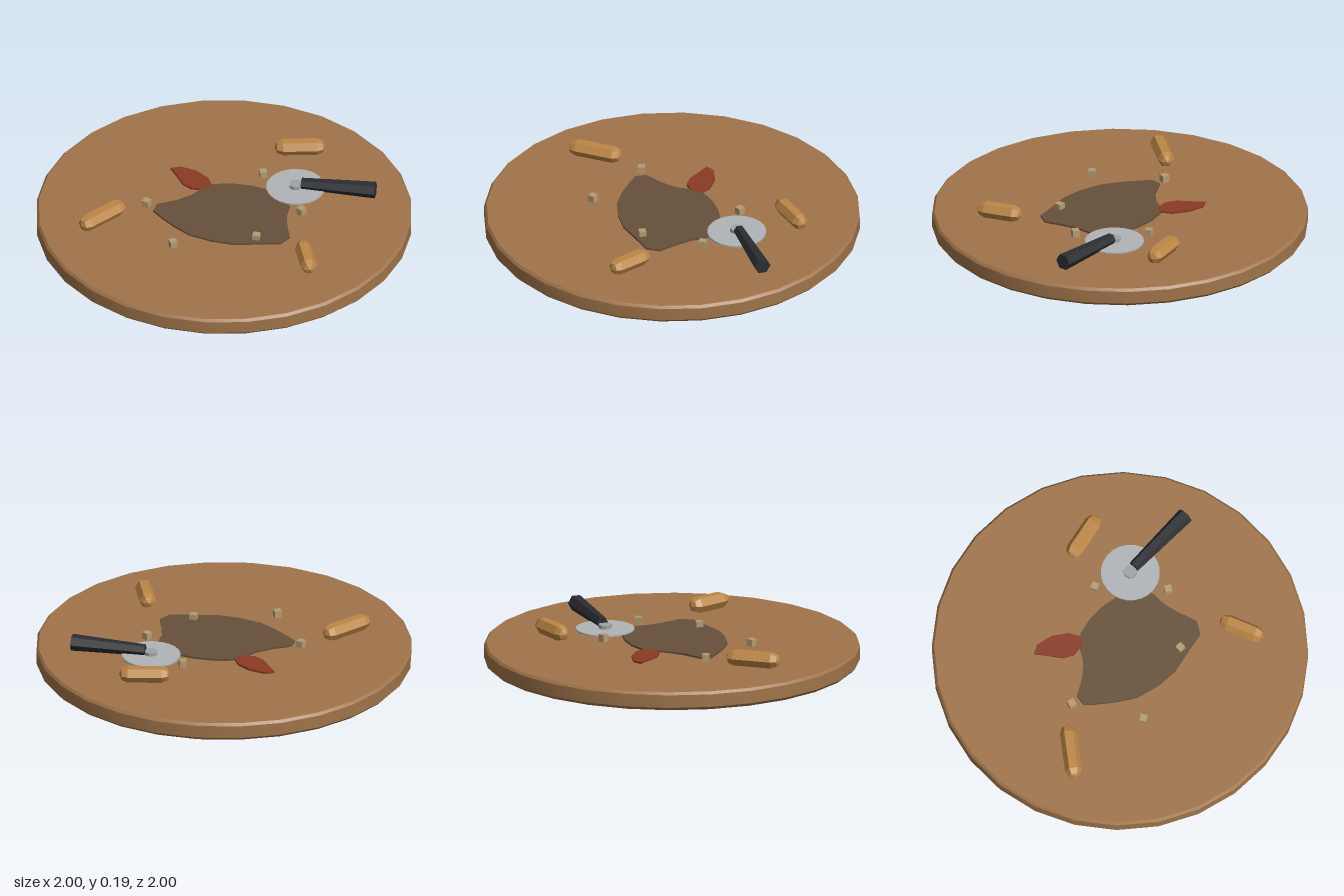
import * as THREE from 'three';
import { toCreasedNormals } from 'three/addons/utils/BufferGeometryUtils.js';

const TOP = 0.1; // height of the board's upper face
const RAD = Math.PI / 180;

function material(color, flatShading = true) {
  return new THREE.MeshStandardMaterial({ color, flatShading });
}

function addPart(parent, name, geometry, mat, x = 0, y = 0, z = 0) {
  const mesh = new THREE.Mesh(geometry, mat);
  mesh.name = name;
  mesh.position.set(x, y, z);
  parent.add(mesh);
  return mesh;
}

// Thin slab lying on the board, from an outline of [x, z] points
function slab(outline, thickness) {
  const shape = new THREE.Shape(outline.map(([x, z]) => new THREE.Vector2(x, -z)));
  const geometry = new THREE.ExtrudeGeometry(shape, { depth: thickness, bevelEnabled: false });
  return geometry.rotateX(-Math.PI / 2);
}

export function createModel() {
  const model = new THREE.Group();
  model.name = 'cuttingBoardSet';

  // Round board with softened rims
  const profile = [[0, 0], [0.983, 0], [1, 0.017], [1, 0.086], [0.988, TOP], [0, TOP]]
    .map(([r, y]) => new THREE.Vector2(r, y));
  const board = toCreasedNormals(new THREE.LatheGeometry(profile, 28), 0.6);
  addPart(model, 'board', board, material(0xa0744a, false));

  // Flat hide piece and small red scrap
  const hide = [
    [-0.35, 0.08], [-0.26, 0.01], [-0.2, -0.06], [-0.17, -0.13], [-0.12, -0.19], [-0.03, -0.225],
    [0.07, -0.24], [0.18, -0.235], [0.27, -0.2], [0.325, -0.13], [0.335, -0.05], [0.37, 0.04],
    [0.415, 0.13], [0.385, 0.2], [0.27, 0.24], [0.15, 0.285], [0.03, 0.295], [-0.1, 0.28],
    [-0.2, 0.235], [-0.3, 0.175], [-0.35, 0.14],
  ];
  addPart(model, 'hidePiece', slab(hide, 0.01), material(0x66503a), 0, TOP, 0);
  const scrap = [
    [-0.385, -0.25], [-0.34, -0.28], [-0.25, -0.272], [-0.17, -0.232], [-0.13, -0.18],
    [-0.145, -0.135], [-0.22, -0.115], [-0.28, -0.14], [-0.33, -0.195],
  ];
  addPart(model, 'redScrap', slab(scrap, 0.011), material(0x8b3a24), 0, TOP, 0);

  // Rotary cutter: blade, hub and tapered handle
  const cutter = new THREE.Group();
  cutter.name = 'rotaryCutter';
  model.add(cutter);
  addPart(cutter, 'blade', new THREE.CylinderGeometry(0.157, 0.157, 0.008, 24),
    material(0xb0b4b8), 0.3, 0.113, -0.3);
  addPart(cutter, 'hub', new THREE.CylinderGeometry(0.036, 0.036, 0.022, 8),
    material(0xa0a4a8), 0.3, 0.125, -0.3);
  const from = new THREE.Vector3(0.33, 0.138, -0.308);
  const to = new THREE.Vector3(0.724, 0.145, -0.37);
  const dir = to.clone().sub(from);
  const handleShape = new THREE.CylinderGeometry(0.045, 0.031, dir.length(), 6)
    .rotateY(Math.PI / 6).rotateX(Math.PI / 2);
  const handle = addPart(cutter, 'handle', handleShape, material(0x2b2d31));
  handle.position.copy(from).add(to).multiplyScalar(0.5);
  handle.lookAt(to);

  // Wooden toggles: centre, full length and heading
  const toggleMat = material(0xbd8746);
  [[0.22, -0.605, 0.27, 110], [-0.575, 0.32, 0.3, -30], [0.57, 0.32, 0.25, 29]]
    .forEach(([x, z, length, heading]) => {
      const r = 0.045;
      const geometry = new THREE.CapsuleGeometry(r, length - 2 * r, 2, 6).rotateX(Math.PI / 2);
      addPart(model, 'toggle', geometry, toggleMat, x, 0.148, z).rotation.y = heading * RAD;
    });

  // Small cubes scattered on the board
  const cubeMat = material(0xb39c72);
  const cube = new THREE.BoxGeometry(0.038, 0.038, 0.038);
  [[0.1, -0.35, 30], [0.4, -0.1, -25], [-0.4, 0.1, -12], [0.25, 0.2, 3], [-0.15, 0.4, 40]]
    .forEach(([x, z, turn]) => {
      addPart(model, 'smallCube', cube, cubeMat, x, 0.12, z).rotation.y = turn * RAD;
    });

  return model;
}
